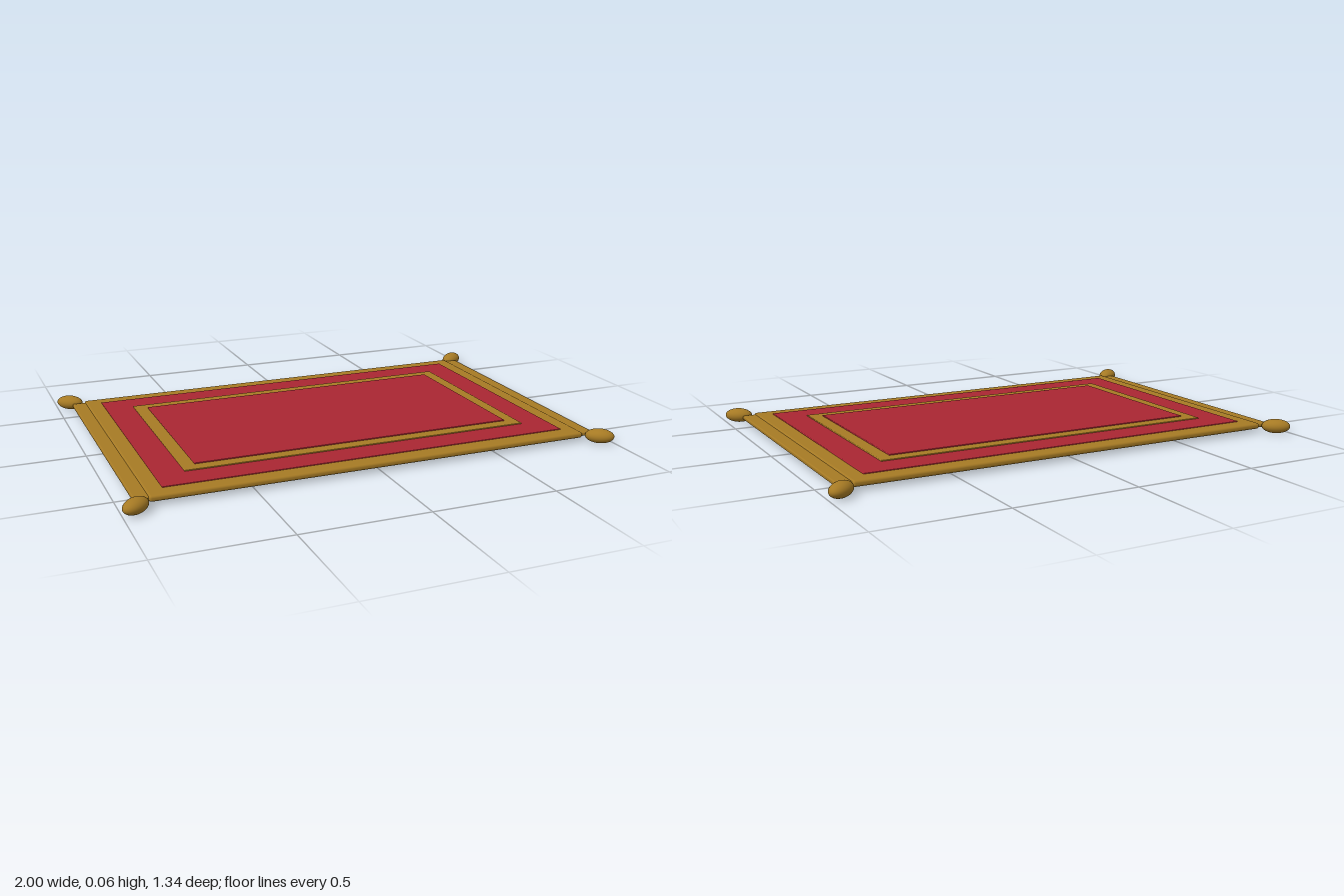
import * as THREE from 'three';
import { RoundedBoxGeometry } from 'three/addons/geometries/RoundedBoxGeometry.js';

export function createModel() {
  const rug = new THREE.Group();
  rug.name = 'rug';

  const gold = new THREE.MeshStandardMaterial({ color: 0xa67a24 });
  gold.name = 'gold';
  const red = new THREE.MeshStandardMaterial({ color: 0xaa2632 });
  red.name = 'red';

  // Slab centred on x, spanning y0..y1, with softened edges
  function slab(name, material, halfX, halfZ, y0, y1, radius, x = 0) {
    const geometry = new RoundedBoxGeometry(halfX * 2, y1 - y0, halfZ * 2, 3, radius);
    const mesh = new THREE.Mesh(geometry, material);
    mesh.name = name;
    mesh.position.set(x, (y0 + y1) / 2, 0);
    rug.add(mesh);
  }

  // Stacked layers of the rug, each smaller and a little higher
  slab('base', gold, 0.893, 0.592, 0.016, 0.04, 0.01);
  slab('outerField', red, 0.83, 0.528, 0.03, 0.043, 0.003);
  slab('innerBorder', gold, 0.716, 0.413, 0.034, 0.047, 0.003);
  slab('innerField', red, 0.664, 0.363, 0.038, 0.051, 0.003);

  for (const sx of [-1, 1]) {
    // Fringe strip along each short end
    slab('endStrip', gold, 0.03, 0.58, 0.018, 0.035, 0.006, sx * 0.916);

    // Oval tassel pointing outward at each corner
    for (const sz of [-1, 1]) {
      const tassel = new THREE.Mesh(new THREE.SphereGeometry(1, 32, 20), gold);
      tassel.name = 'cornerTassel';
      tassel.scale.set(0.058, 0.029, 0.036);
      tassel.rotation.y = -sx * sz * THREE.MathUtils.degToRad(37);
      tassel.position.set(sx * 0.949, 0.029, sz * 0.627);
      rug.add(tassel);
    }
  }
  return rug;
}
